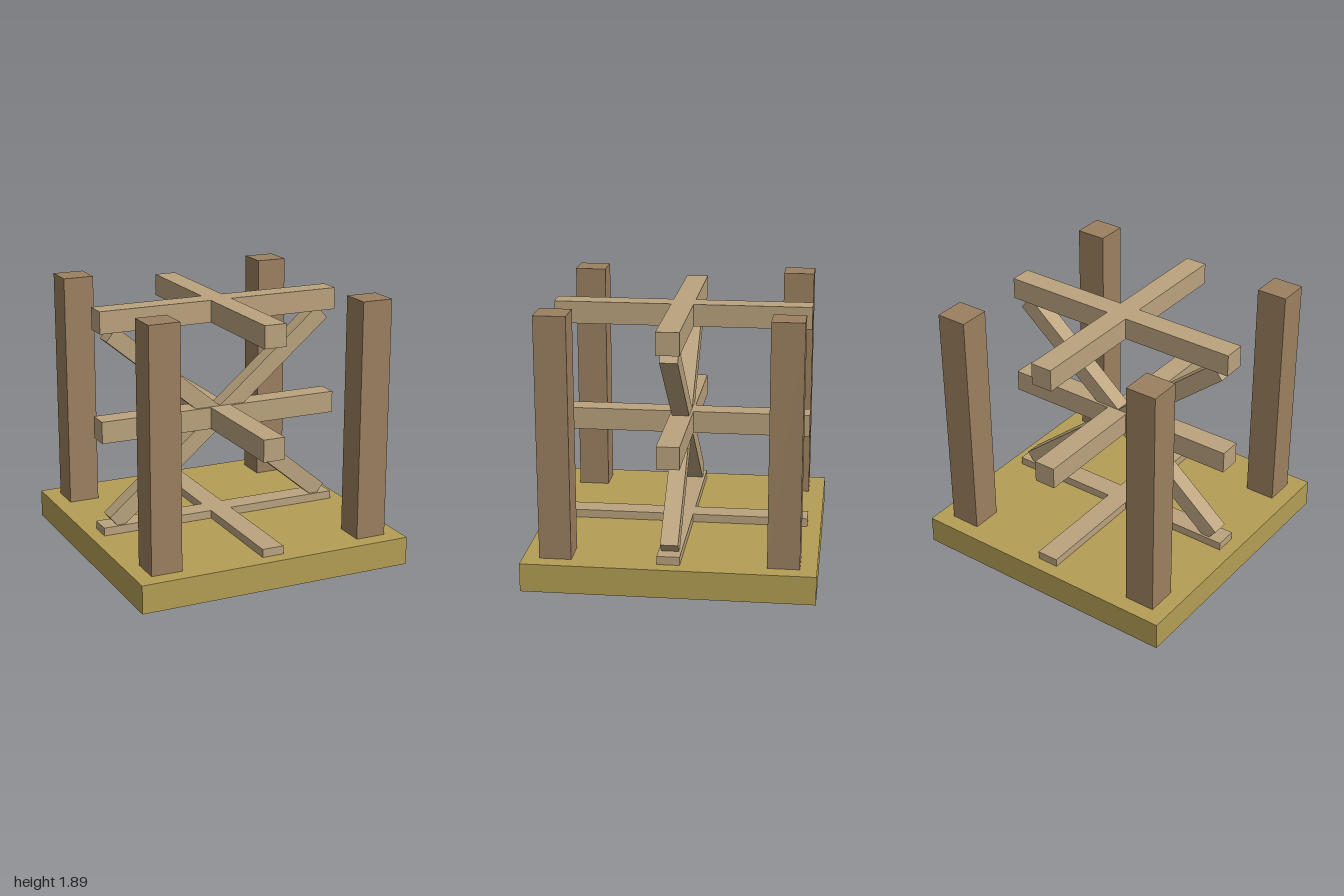
import * as THREE from 'three';

const paint = (color) => new THREE.MeshStandardMaterial({ color });

export function createModel() {
  const model = new THREE.Group();
  const ground = paint(0xb49f55);
  const darkWood = paint(0x9c8060);
  const lightWood = paint(0xbba37e);

  const addBox = (name, size, position, material) => {
    const mesh = new THREE.Mesh(new THREE.BoxGeometry(...size), material);
    mesh.name = name;
    mesh.position.set(...position);
    model.add(mesh);
    return mesh;
  };

  // Square base slab
  addBox('base', [2, 0.2, 2], [0, 0.1, 0], ground);

  // Four corner posts
  for (const x of [-0.775, 0.775]) {
    for (const z of [-0.775, 0.775]) {
      addBox('cornerPost', [0.22, 1.69, 0.22], [x, 1.045, z], darkWood);
    }
  }

  // Three levels of crossed beams, the lowest partly sunk into the base
  for (const y of [0.18, 0.955, 1.73]) {
    addBox('crossBeamX', [1.805, 0.157, 0.157], [0, y, 0], lightWood);
    addBox('crossBeamZ', [0.157, 0.157, 1.805], [0, y, 0], lightWood);
  }

  // Diagonal braces crossing at the middle level
  for (const side of [-1, 1]) {
    const brace = addBox('diagonalBrace', [2.12, 0.122, 0.122], [0, 0.955, 0], lightWood);
    brace.rotation.z = side * THREE.MathUtils.degToRad(40);
  }

  return model;
}
